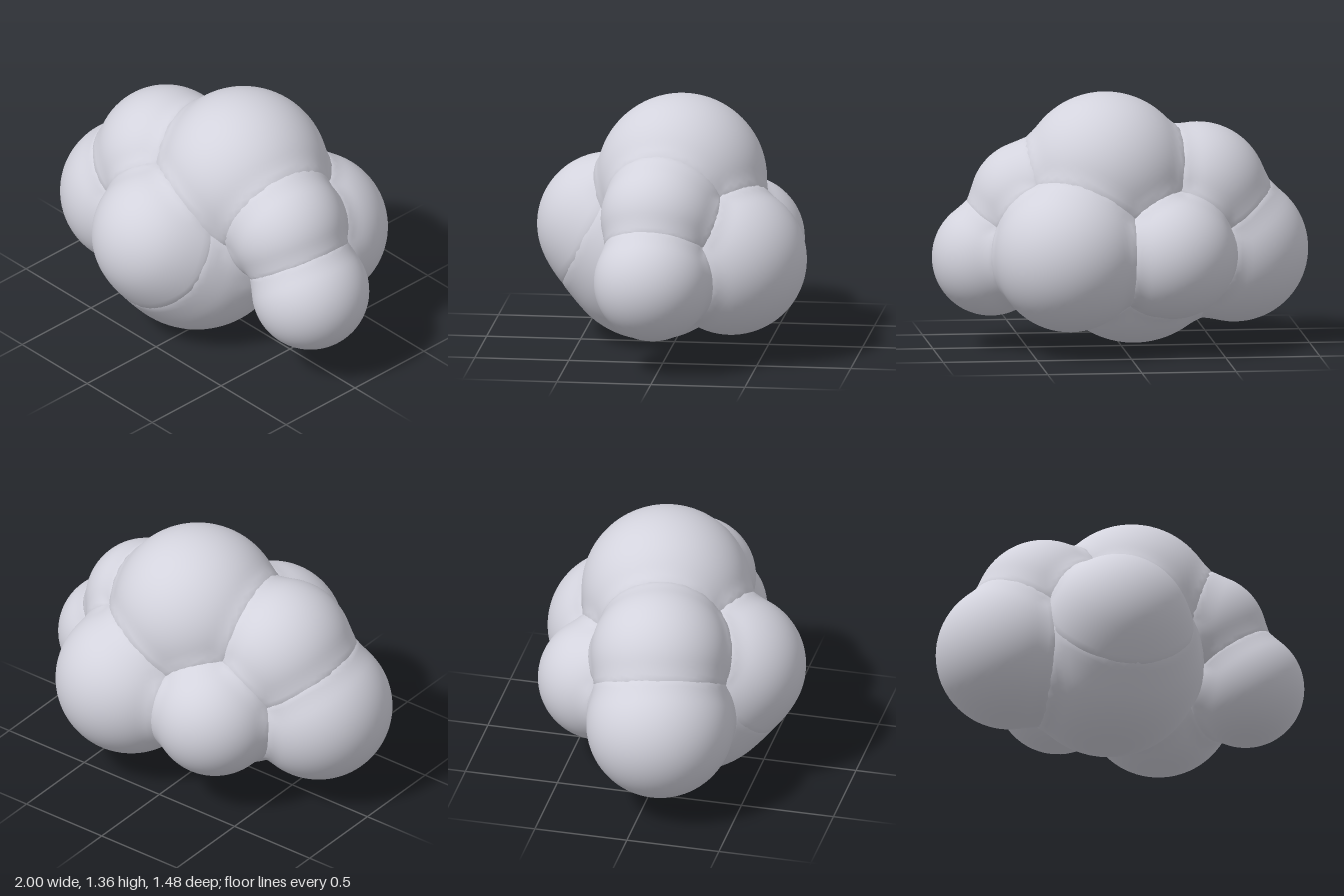
import * as THREE from 'three';
import { mergeVertices } from 'three/addons/utils/BufferGeometryUtils.js';

// Puffs of the cloud: name, centre x, y, z, radius
const PUFFS = [
  ['topPuff', 0.09, 0.92, -0.05, 0.45],
  ['frontPuff', -0.09, 0.62, 0.36, 0.38],
  ['bottomPuff', -0.08, 0.5, 0.13, 0.49],
  ['lowerRightPuff', -0.61, 0.51, 0.085, 0.39],
  ['upperRightPuff', -0.41, 0.82, 0.04, 0.37],
  ['upperLeftPuff', 0.48, 0.79, 0.01, 0.32],
  ['lowerLeftPuff', 0.69, 0.49, 0.03, 0.31],
  ['backLeftPuff', 0.31, 0.54, -0.34, 0.4],
  ['backRightPuff', -0.24, 0.53, -0.33, 0.33],
].map(([name, x, y, z, radius]) => ({ name, centre: new THREE.Vector3(x, y, z), radius }));

const BLEND = 0.09;

// Sphere that swells slightly where it meets its neighbours, filling the creases
function puffGeometry(puff) {
  let geometry = new THREE.IcosahedronGeometry(puff.radius, 13);
  geometry.deleteAttribute('normal');
  geometry.deleteAttribute('uv');
  geometry = mergeVertices(geometry, 1e-4);

  const position = geometry.attributes.position;
  const local = new THREE.Vector3();
  const world = new THREE.Vector3();
  for (let i = 0; i < position.count; i++) {
    local.fromBufferAttribute(position, i);
    world.copy(local).add(puff.centre);
    let swell = 0;
    for (const other of PUFFS) {
      if (other === puff) continue;
      const gap = Math.abs(world.distanceTo(other.centre) - other.radius);
      const weight = Math.max(0, 1 - gap / BLEND);
      swell = Math.max(swell, (weight * weight * BLEND) / 4);
    }
    local.setLength(puff.radius + swell);
    position.setXYZ(i, local.x, local.y, local.z);
  }
  geometry.computeVertexNormals();
  return geometry;
}

export function createModel() {
  const cloud = new THREE.Group();
  cloud.name = 'cloud';
  const paleGrey = new THREE.MeshStandardMaterial({ color: 0xd3d3dd });
  paleGrey.name = 'paleGrey';

  for (const puff of PUFFS) {
    const mesh = new THREE.Mesh(puffGeometry(puff), paleGrey);
    mesh.name = puff.name;
    mesh.position.copy(puff.centre);
    cloud.add(mesh);
  }
  return cloud;
}
